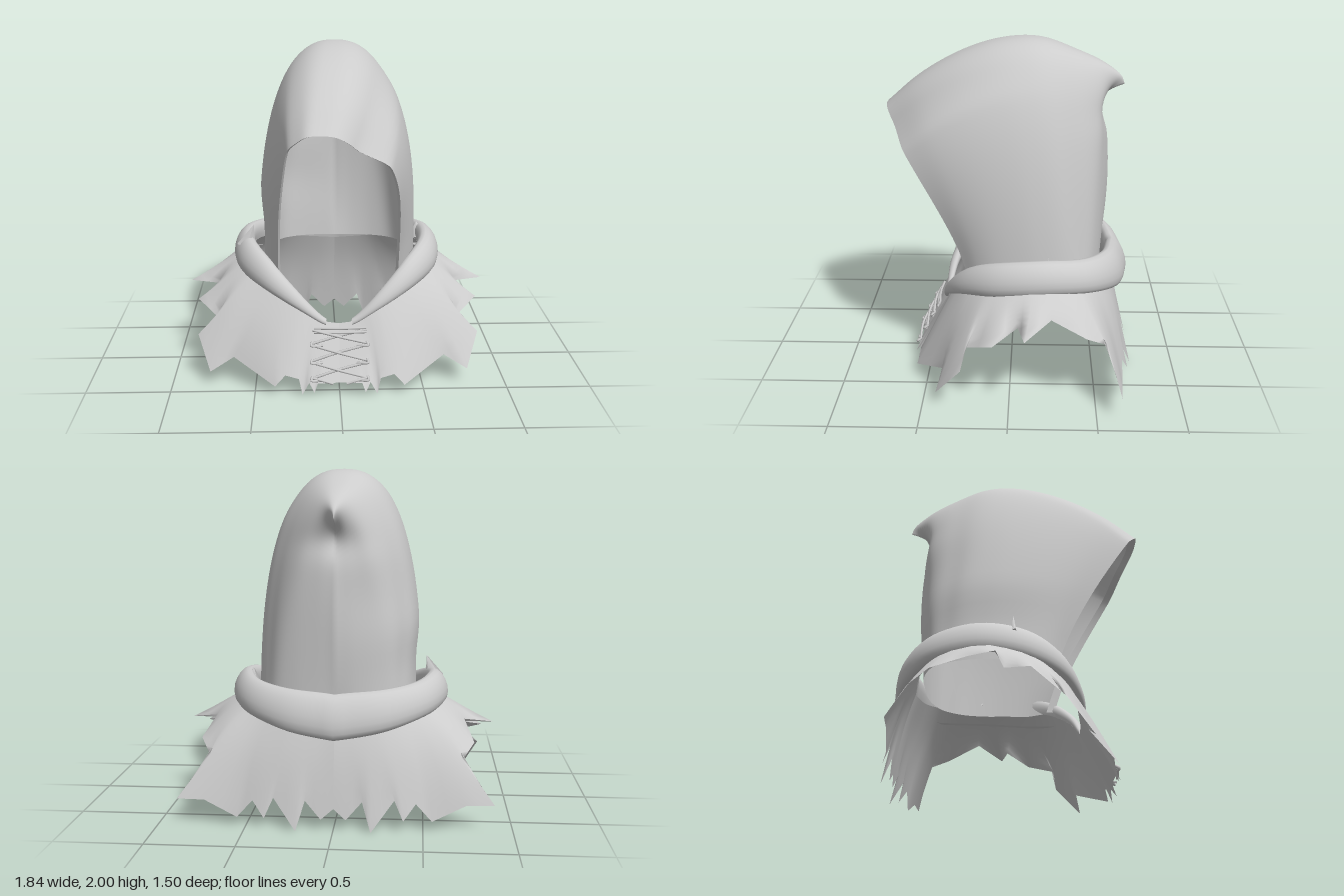
import * as THREE from 'three';
import { mergeVertices } from 'three/addons/utils/BufferGeometryUtils.js';

const V = (x, y, z) => new THREE.Vector3(x, y, z);
const smooth = THREE.MathUtils.smoothstep;
const cloth = new THREE.MeshStandardMaterial({ color: 0xcccccc, side: THREE.DoubleSide });
cloth.name = 'grey cloth';

// Smooth surface from a rule fn(u, v) -> Vector3, u and v in 0..1
function sheet(name, nu, nv, fn) {
  const pos = [], idx = [];
  for (let i = 0; i <= nu; i++)
    for (let j = 0; j <= nv; j++) pos.push(...fn(i / nu, j / nv).toArray());
  for (let i = 0; i < nu; i++)
    for (let j = 0; j < nv; j++) {
      const a = i * (nv + 1) + j, b = a + nv + 1;
      idx.push(a, b, a + 1, b, b + 1, a + 1);
    }
  let g = new THREE.BufferGeometry();
  g.setAttribute('position', new THREE.Float32BufferAttribute(pos, 3));
  g.setIndex(idx);
  g = mergeVertices(g, 1e-4);
  g.computeVertexNormals();
  const m = new THREE.Mesh(g, cloth);
  m.name = name;
  return m;
}

const spline = pts => new THREE.CatmullRomCurve3(pts, false, 'catmullrom', 0.5);

// Hood arches from rim to back seam: half width, base y, top y, base z, top z, z power
const arches = [
  [0.36, 0.63, 1.585, 0.25, 0.76, 1.3],
  [0.42, 0.64, 1.75, 0.17, 0.57, 1.25],
  [0.46, 0.64, 1.88, 0.07, 0.36, 1.2],
  [0.48, 0.65, 1.965, -0.06, 0.15, 1.1],
  [0.48, 0.65, 2.0, -0.19, -0.04, 1],
  [0.45, 0.65, 1.99, -0.33, -0.2, 1],
  [0.37, 0.65, 1.93, -0.45, -0.37, 1],
  [0.25, 0.65, 1.865, -0.51, -0.52, 4],
  [0.12, 0.65, 1.79, -0.535, -0.63, 14],
  [0, 0.65, 1.725, -0.535, -0.67, 26],
];
const archSize = spline(arches.map(a => V(a[0], a[1], a[2])));
const archDepth = spline(arches.map(a => V(a[3], a[4], a[5])));

function hoodPoint(t, v) {
  const A = archSize.getPoint(t), D = archDepth.getPoint(t);
  const s = v * 2 - 1, th = (1 - Math.abs(s)) * Math.PI / 2;
  // square-shouldered at the rim, more so on the left, rounder behind
  const front = (1 - t) ** 4;
  const k = 2 / (2.4 + (s > 0 ? 1.1 : 0.5) * front);
  const g = Math.pow(Math.sin(th), k);
  const y = A.y + (A.z - A.y) * g;
  let w = Math.max(A.x, 0) * Math.pow(Math.max(Math.cos(th), 0), k);
  // rim narrows to a peak above the shoulders; the right side draws in low down
  w *= 1 - front * (s > 0 ? 0.4 * smooth(g, 0.78, 0.92) : 0.25 * smooth(g, 0.9, 1));
  if (s < 0) w *= 1 - 0.07 * smooth(1.15 - y, 0, 0.3) * Math.sin(Math.PI * t);
  let z = D.x + (D.y - D.x) * Math.pow(g, D.z);
  // hollow under the tip and soft belly at the back
  z += Math.pow(t, 6) * (0.045 * Math.exp(-(((y - 1.6) / 0.09) ** 2)) - 0.045 * Math.sin(Math.PI * g));
  // peak leans to one side; faint folds behind
  const lean = -0.12 * g ** 6 * (1 - t) ** 3;
  const fold = 0.04 * t * t * (1 - t) * Math.sin(9 * s + 6 * y) * Math.sin(Math.PI * g);
  return V(Math.sign(s) * w + lean, y, z + fold);
}

// Collar line, model's left half, front to back
const collar = spline([
  V(0, 0.38, 0.4), V(0.09, 0.4, 0.4), V(0.25, 0.52, 0.365), V(0.42, 0.635, 0.25), V(0.55, 0.7, 0.05),
  V(0.575, 0.725, -0.2), V(0.48, 0.7, -0.44), V(0.27, 0.66, -0.59), V(0, 0.63, -0.645),
]);
const flip = (p, s) => V(p.x * s, p.y, p.z);

// Point on the leaning oval section at t along the collar; angle 0 faces out, PI/2 up
function collarSection(t, a) {
  const p = collar.getPoint(t), d = collar.getTangent(t);
  const n = t > 0.999 ? V(0, 0, -1) : V(-d.z, 0, d.x).normalize();
  const grow = smooth(t, 0.06, 0.5);
  const rx = 0.015 + 0.045 * grow, ry = 0.015 + 0.08 * grow + 0.03 * smooth(t, 0.7, 1);
  p.addScaledVector(n, rx * Math.cos(a) - 0.25 * ry * Math.sin(a));
  p.y += ry * Math.sin(a);
  return p;
}
const innerEdge = Math.PI * 1.05;

// Fold of the collar: up the inside of the neck, over, and tucked under outside
function rollPoint(u, v) {
  const t = 0.11 + 0.89 * (1 - Math.abs(1 - 2 * u));
  const a = THREE.MathUtils.lerp(-Math.PI * 0.6, innerEdge, v);
  return flip(collarSection(t, a), u < 0.5 ? 1 : -1);
}

// Ragged hem, model's left half, front to back
const hem = [
  [0, 0.08, 0.57], [0.13, 0.08, 0.58], [0.15, 0.03, 0.6], [0.18, 0.08, 0.57], [0.22, 0.01, 0.58],
  [0.24, 0.1, 0.56], [0.32, 0.12, 0.55], [0.38, 0.06, 0.57], [0.63, 0.17, 0.39], [0.77, 0.09, 0.42],
  [0.85, 0.27, 0.27], [0.71, 0.35, 0.25], [0.86, 0.43, 0.09], [0.72, 0.48, -0.05], [0.92, 0.49, -0.09],
  [0.74, 0.54, -0.24], [0.79, 0.45, -0.44], [0.72, 0.38, -0.56], [0.9, 0.14, -0.64], [0.74, 0.14, -0.65],
  [0.55, 0.05, -0.67], [0.46, 0.15, -0.67], [0.39, 0.06, -0.71], [0.34, 0.17, -0.68], [0.21, 0, -0.74],
  [0.16, 0.16, -0.69], [0.07, 0.06, -0.71], [0, 0.12, -0.7],
].map(p => V(...p));

// Smoothed hem carries the cloth, so only the edge is ragged
let softHem = hem;
for (let k = 0; k < 2; k++)
  softHem = softHem.map((p, i, a) => {
    if (i === 0 || i === a.length - 1) return p.clone();
    return p.clone().multiplyScalar(2).add(a[i - 1]).add(a[i + 1]).multiplyScalar(0.25);
  });

// Inner collar edge that lies in the same direction as a hem point
const bearing = p => Math.atan2(p.x, p.z + 0.1);
function collarFor(p) {
  const a = bearing(p);
  let t = 0;
  while (t < 1 && bearing(collar.getPoint(t)) < a - 1e-6) t += 0.005;
  return collarSection(Math.min(t, 1), innerEdge);
}
const roots = softHem.map(collarFor);

function capePoint(u, v, side) {
  const f = u * (hem.length - 1), i = Math.min(Math.floor(f), hem.length - 2), k = f - i;
  const at = list => list[i].clone().lerp(list[i + 1], k);
  const root = at(roots), soft = at(softHem);
  const p = root.clone().lerp(soft.clone().lerp(at(hem), v * v), v);
  p.lerp(V(soft.x, root.y, soft.z), 0.5 * v * (1 - v) * smooth(u, 0.1, 0.4));
  if (u === 0) p.x = 0;
  return flip(p, side);
}

// Cord through a few points
function cord(name, pts) {
  const m = new THREE.Mesh(new THREE.TubeGeometry(spline(pts), 10, 0.008, 6), cloth);
  m.name = name;
  return m;
}

export function createModel() {
  const model = new THREE.Group();
  model.name = 'hoodedCowl';

  model.add(sheet('hood', 54, 64, hoodPoint));
  // narrow turned-in hem behind the rim
  model.add(sheet('hoodRimHem', 1, 64, (u, v) => {
    const p = hoodPoint(0, v);
    return V(p.x * (1 - 0.03 * u), p.y - 0.01 * u * (p.y - 0.63), p.z - 0.05 * u);
  }));

  model.add(sheet('collarRoll', 80, 14, rollPoint));
  for (const side of [1, -1])
    model.add(sheet(side > 0 ? 'capeLeft' : 'capeRight', (hem.length - 1) * 2, 10, (u, v) => capePoint(u, v, side)));

  // loose folded corners on the collar
  for (const [x, y, z, h, turn] of [[-0.54, 0.81, 0, 0.15, -0.35], [0.52, 0.78, -0.22, 0.1, 0.1]]) {
    const flap = new THREE.Mesh(new THREE.ConeGeometry(0.06, h, 5), cloth);
    flap.name = 'collarFold';
    flap.position.set(x, y, z);
    flap.scale.z = 0.5;
    flap.rotation.z = turn;
    model.add(flap);
  }

  // criss-cross lacing down the chest
  const lacing = new THREE.Group();
  lacing.name = 'lacing';
  const on = (x, y, lift = 0.02) => V(x, y, 0.608 - 0.5 * y + lift);
  const rows = [0.37, 0.29, 0.2, 0.11];
  for (const dy of [0, -0.022])
    lacing.add(cord('topLace', [on(-0.15, 0.37 + dy), on(0, 0.37 + dy, 0.03), on(0.16, 0.37 + dy)]));
  for (let i = 0; i < rows.length - 1; i++)
    for (const s of [1, -1]) {
      const x = 0.16, a = rows[i], b = rows[i + 1];
      lacing.add(cord('crossLace', [on(-s * x, a - 0.01), on(0, (a + b) / 2, 0.03 + s * 0.01), on(s * x, b)]));
      lacing.add(cord('laceLoop', [on(s * x, b + 0.01), on(s * (x + 0.005), b - 0.008, 0.035), on(s * 0.1, b - 0.012, 0.015)]));
    }
  for (const s of [1, -1])
    lacing.add(cord('laceEnd', [on(s * 0.16, 0.11), on(s * 0.1, 0.1, 0.03), on(s * 0.04, 0.08)]));
  model.add(lacing);

  return model;
}
